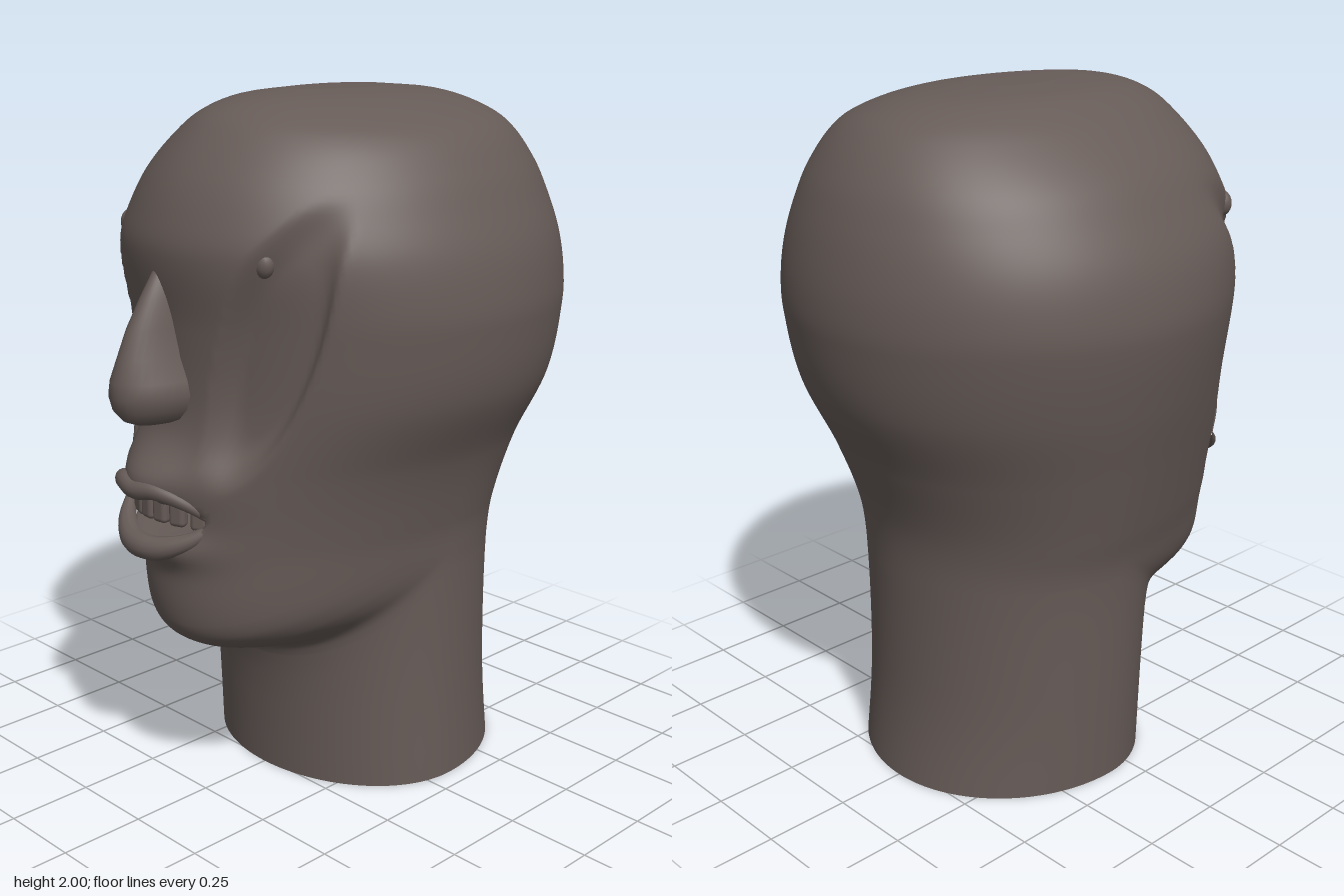
import * as THREE from 'three';
import { RoundedBoxGeometry } from 'three/addons/geometries/RoundedBoxGeometry.js';

// Profiles: [height, reach]
const RIGHT = [[0, .43], [.3, .44], [.6, .45], [.7, .46], [.8, .485], [1, .535], [1.2, .585], [1.4, .62], [1.5, .615],
  [1.6, .59], [1.7, .54], [1.8, .475], [1.9, .37], [1.95, .295], [1.985, .21], [2, .1]];
const LEFT = [[0, .44], [.3, .43], [.6, .428], [.7, .432], [.8, .445], [1, .50], [1.2, .59], [1.4, .62], [1.5, .615],
  [1.6, .595], [1.7, .555], [1.8, .505], [1.9, .425], [1.95, .32], [1.985, .2], [2, .1]];
const BACK = [[0, .54], [.15, .52], [.3, .51], [.6, .512], [.8, .53], [1, .60], [1.2, .69], [1.4, .73], [1.5, .732],
  [1.6, .718], [1.7, .692], [1.8, .65], [1.9, .575], [1.95, .5], [1.985, .38], [2, .22]];
const FRONT = [[0, .265], [.15, .27], [.3, .28], [.4, .30], [.43, .335], [.45, .43], [.475, .515], [.52, .58], [.6, .605],
  [.75, .605], [1, .60], [1.2, .575], [1.4, .58], [1.6, .605], [1.7, .58], [1.8, .53], [1.9, .45], [1.95, .385],
  [1.985, .28], [2, .15]];
const MID_Z = -.08;
const smooth = THREE.MathUtils.smoothstep;

// Hermite lookup of a profile by height
function sample(p, y) {
  let i = 0;
  while (i < p.length - 2 && y > p[i + 1][0]) i++;
  const slope = k => {
    const a = p[Math.max(0, k - 1)], b = p[Math.min(p.length - 1, k + 1)];
    return (b[1] - a[1]) / (b[0] - a[0]);
  };
  const h = p[i + 1][0] - p[i][0], t = (y - p[i][0]) / h, t2 = t * t, t3 = t2 * t;
  return (2 * t3 - 3 * t2 + 1) * p[i][1] + (t3 - 2 * t2 + t) * h * slope(i)
    + (3 * t2 - 2 * t3) * p[i + 1][1] + (t3 - t2) * h * slope(i + 1);
}

// Facial relief: cheek hollows, muzzle, open mouth
function relief(x, y) {
  let d = 0;
  for (const s of [-1, 1]) {
    const cx = s * (.21 + .17 * (y - 1) / .6) - .03;
    const e = ((x - cx) / .125) ** 2 + ((y - 1.36) / .4) ** 2;
    d -= .05 * (1 - smooth(e, .35, 1));
  }
  const mx = x + .06;
  d += .085 * Math.exp(-((mx / .16) ** 2) - ((y - .98) / .085) ** 2);
  d += .055 * Math.exp(-((mx / .16) ** 2) - ((y - .79) / .05) ** 2);
  d -= .12 * (1 - smooth((mx / .19) ** 2 + ((y - .875) / .055) ** 2, .4, 1));
  return d;
}

// Point on the head; the jaw line rises from the chin towards the sides
function headPoint(phi, y0) {
  const s = Math.sin(phi), c = Math.cos(phi);
  const lift = .28 * smooth(y0, 0, .4) * (1 - smooth(y0, .55, 1.25));
  const y = y0 + lift * (1 - Math.max(0, c));
  const x = s * sample(s > 0 ? LEFT : RIGHT, y);
  const reach = c > 0 ? sample(FRONT, y0) - MID_Z : sample(BACK, y) + MID_Z;
  let z = MID_Z + c * reach;
  if (c > 0) z += relief(x, y) * smooth(c, 0, .35);
  return [x, y, z];
}

// Closed rings joined into a smooth skin, with an optional centre point at each end
function loft(rings, bottom, top) {
  const n = rings[0].length, pos = rings.flat(2), idx = [];
  for (let r = 0; r < rings.length - 1; r++) {
    for (let j = 0; j < n; j++) {
      const a = r * n + j, b = r * n + (j + 1) % n;
      idx.push(a, b, b + n, a, b + n, a + n);
    }
  }
  const cap = (point, start, up) => {
    const k = pos.length / 3;
    pos.push(...point);
    for (let j = 0; j < n; j++) {
      const a = start + j, b = start + (j + 1) % n;
      if (up) idx.push(a, b, k); else idx.push(b, a, k);
    }
  };
  if (bottom) cap(bottom, 0, false);
  if (top) cap(top, (rings.length - 1) * n, true);
  const g = new THREE.BufferGeometry();
  g.setAttribute('position', new THREE.Float32BufferAttribute(pos, 3));
  g.setIndex(idx);
  g.computeVertexNormals();
  return g;
}

const ring = (n, f) => Array.from({ length: n }, (_, j) => f(j / n * Math.PI * 2));

// Tube that thins towards both ends
function lip(points, radius) {
  const curve = new THREE.CatmullRomCurve3(points.map(p => new THREE.Vector3(...p)));
  const g = new THREE.TubeGeometry(curve, 48, radius, 14);
  const pos = g.attributes.position, uv = g.attributes.uv, v = new THREE.Vector3();
  for (let i = 0; i < pos.count; i++) {
    const t = uv.getX(i);
    v.fromBufferAttribute(pos, i).lerp(curve.getPointAt(t), 1 - (.25 + .75 * Math.sin(Math.PI * t)));
    pos.setXYZ(i, v.x, v.y, v.z);
  }
  g.computeVertexNormals();
  return g;
}

export function createModel() {
  const model = new THREE.Group();
  const clay = new THREE.MeshStandardMaterial({ color: 0x665b57 });
  clay.name = 'dark clay';
  const add = (name, geometry, parent = model) => {
    const m = new THREE.Mesh(geometry, clay);
    m.name = name;
    parent.add(m);
    return m;
  };

  // Head and neck in one skin, rows closer together at chin and crown
  const heights = [];
  for (const [a, b, n] of [[0, .38, 10], [.38, .56, 28], [.56, 1.7, 72]]) {
    for (let i = 0; i < n; i++) heights.push(a + (b - a) * i / n);
  }
  for (let i = 0; i <= 28; i++) heights.push(1.7 + .3 * Math.sin(i / 28 * Math.PI / 2));
  add('headAndNeck', loft(heights.map(y => ring(200, a => headPoint(a, y))), null, [0, 2, MID_Z]));

  // Flat underside of the neck
  const base = ring(200, a => headPoint(a, 0));
  add('neckBase', loft([base], [0, 0, -.13], null));

  // Nose: [height, centre x, half width, front z]
  const nose = [[1.135, -.055, .05, .665], [1.15, -.055, .085, .70], [1.18, -.056, .11, .725], [1.22, -.056, .122, .735],
    [1.26, -.055, .112, .732], [1.32, -.052, .085, .715], [1.4, -.048, .066, .685], [1.48, -.043, .05, .642],
    [1.56, -.04, .03, .592]];
  add('nose', loft(nose.map(([y, cx, w, zf]) => ring(40, a =>
    [cx + w * Math.sin(a), y, .52 + (zf - .52) * Math.cos(a)])), [-.055, 1.128, .56], [-.04, 1.58, .55]));

  // Small eyes set in the hollows
  for (const [name, x, y, z] of [['rightEye', -.335, 1.63, .445], ['leftEye', .265, 1.59, .485]]) {
    const eye = add(name, new THREE.SphereGeometry(.034, 20, 14));
    eye.position.set(x, y, z);
    eye.scale.set(.9, 1.1, .8);
  }

  // Mouth: two lips and a row of teeth
  const mouth = new THREE.Group();
  mouth.name = 'mouth';
  model.add(mouth);
  add('upperLip', lip([[-.265, .875, .525], [-.2, .94, .60], [-.12, .962, .655], [-.06, .955, .668], [0, .962, .655],
    [.08, .93, .61], [.135, .87, .55]], .03), mouth);
  add('lowerLip', lip([[-.265, .88, .525], [-.2, .82, .595], [-.12, .79, .64], [-.06, .785, .65], [0, .79, .64],
    [.08, .82, .60], [.135, .87, .55]], .036), mouth);
  for (let i = 0; i < 6; i++) {
    const u = (i - 2.5) / 2.5;
    const tooth = add('tooth', new RoundedBoxGeometry(.05, .09, .035, 3, .014), mouth);
    tooth.position.set(-.06 + .13 * u, .895 - .012 * u * u, .605 - .05 * u * u);
    tooth.rotation.y = .55 * u;
  }
  return model;
}
